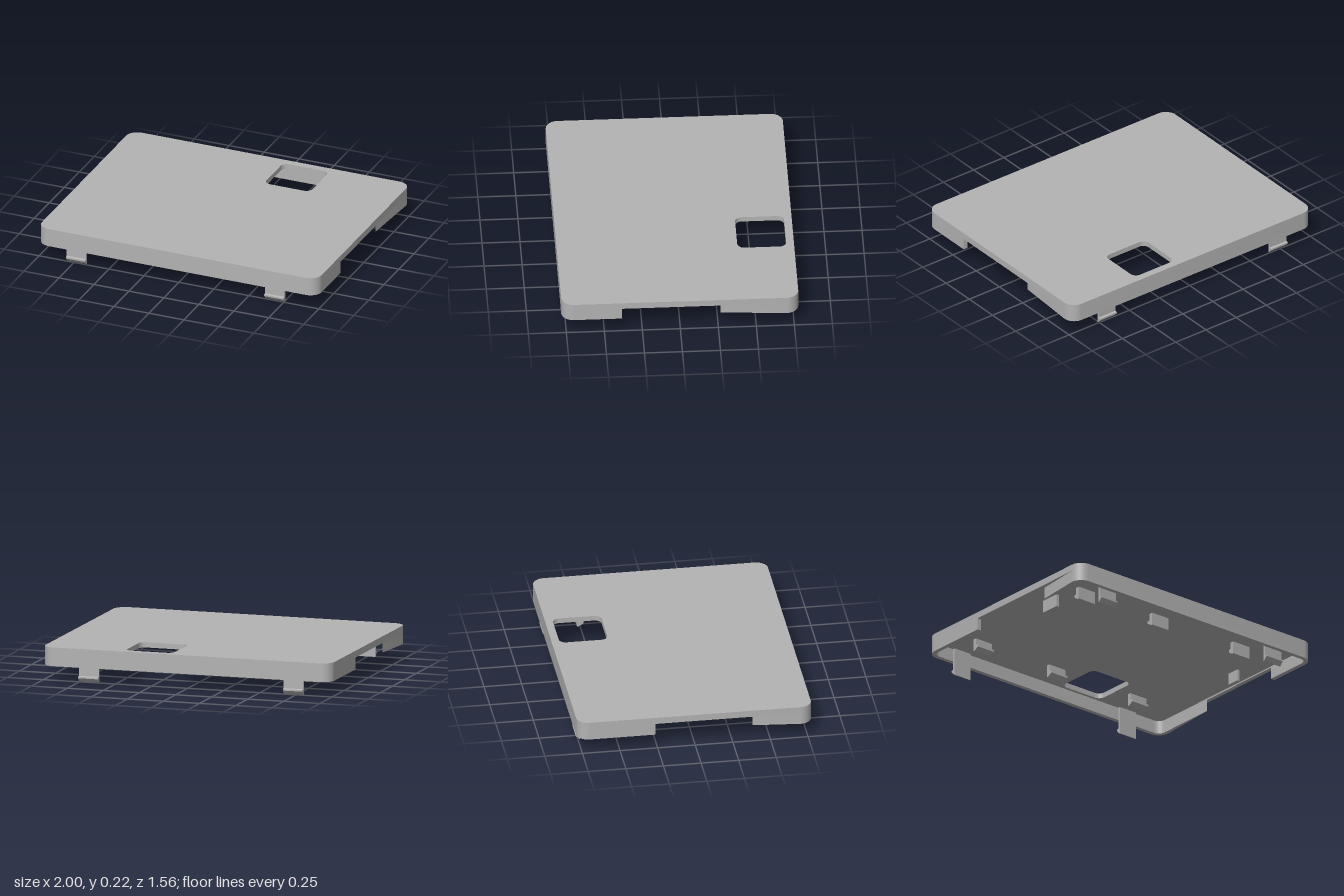
import * as THREE from 'three';
import { toCreasedNormals } from 'three/addons/utils/BufferGeometryUtils.js';

const W = 1, D = 0.78, R = 0.08, WALL = 0.03;
const RIM_Y = 0.1, NOTCH_Y = 0.18, PLATE_Y = 0.19, TOP_Y = 0.225;

// Rounded rectangle outline, centred on (cx, cy) with half sizes w and h
function roundedRect(path, cx, cy, w, h, r) {
  path.moveTo(cx + w, cy - h + r);
  path.absarc(cx + w - r, cy + h - r, r, 0, Math.PI / 2);
  path.absarc(cx - w + r, cy + h - r, r, Math.PI / 2, Math.PI);
  path.absarc(cx - w + r, cy - h + r, r, Math.PI, Math.PI * 1.5);
  path.absarc(cx + w - r, cy - h + r, r, Math.PI * 1.5, Math.PI * 2);
  path.closePath();
  return path;
}

// Extrude a plan shape (shape y points to the back) between two heights
function slab(shape, y0, y1) {
  const geo = new THREE.ExtrudeGeometry(shape, { depth: y1 - y0, bevelEnabled: false, curveSegments: 10 });
  geo.rotateX(-Math.PI / 2).translate(0, y0, 0);
  return toCreasedNormals(geo, 0.6);
}

// U-shaped wall around one end, starting at distance e from the middle
function endWall(e) {
  const s = new THREE.Shape();
  s.moveTo(W, e);
  s.absarc(W - R, D - R, R, 0, Math.PI / 2);
  s.absarc(R - W, D - R, R, Math.PI / 2, Math.PI);
  s.lineTo(-W, e);
  s.lineTo(WALL - W, e);
  s.absarc(R - W, D - R, R - WALL, Math.PI, Math.PI / 2, true);
  s.absarc(W - R, D - R, R - WALL, Math.PI / 2, 0, true);
  s.lineTo(W - WALL, e);
  s.closePath();
  return slab(s, RIM_Y, NOTCH_Y);
}

// Extrude a (z, y) profile along x, centred on x = 0
function hook(points, width) {
  const s = new THREE.Shape(points.map(([z, y]) => new THREE.Vector2(-z, y)));
  const geo = new THREE.ExtrudeGeometry(s, { depth: width, bevelEnabled: false });
  return geo.translate(0, 0, -width / 2).rotateY(Math.PI / 2);
}

export function createModel() {
  const model = new THREE.Group();
  const grey = new THREE.MeshStandardMaterial({ color: 0xb3b3b3 });
  grey.name = 'greyPlastic';

  const add = (name, geo, x = 0, z = 0, turn = 0) => {
    const mesh = new THREE.Mesh(geo, grey);
    mesh.name = name;
    mesh.position.set(x, 0, z);
    mesh.rotation.y = turn;
    model.add(mesh);
  };

  // Top plate with its rounded window
  const plate = roundedRect(new THREE.Shape(), 0, 0, W, D, R);
  plate.holes.push(roundedRect(new THREE.Path(), 0.275, 0.568, 0.165, 0.161, 0.045));
  add('topPlate', slab(plate, PLATE_Y, TOP_Y));

  // Continuous lip, then the deeper walls left by the side notches
  const lip = roundedRect(new THREE.Shape(), 0, 0, W, D, R);
  lip.holes.push(roundedRect(new THREE.Path(), 0, 0, W - WALL, D - WALL, R - WALL));
  add('lip', slab(lip, NOTCH_Y, PLATE_Y));
  add('frontWall', endWall(0.385), 0, 0, Math.PI);
  add('backWall', endWall(0.265));

  // Snap clips hanging inside the front and back walls, barbs outward
  const clip = hook([[0, PLATE_Y], [0, 0], [0.006, 0], [0.031, 0.026], [0.031, 0.036],
    [0.016, 0.04], [0.016, PLATE_Y]], 0.138);
  for (const x of [0.685, -0.733]) {
    add('frontClip', clip, x, 0.734);
    add('backClip', clip, x, -0.734, Math.PI);
  }

  // Two rows of inner hooks, barbs facing the middle
  const innerHook = hook([[0, PLATE_Y], [0, 0.105], [0.012, 0.105], [0.045, 0.125], [0.045, 0.14],
    [0.025, 0.145], [0.025, PLATE_Y]], 0.14);
  for (const x of [0.6, -0.095, -0.725]) {
    add('frontInnerHook', innerHook, x, 0.525, Math.PI);
    add('backInnerHook', innerHook, x, -0.55);
  }

  // Small upright tabs beside the notches
  const tab = (name, x, z0, z1, y0) => add(name,
    new THREE.BoxGeometry(0.02, PLATE_Y - y0, z1 - z0).translate(0, (PLATE_Y + y0) / 2, 0), x, (z0 + z1) / 2);
  tab('leftTab', 0.84, 0.12, 0.21, 0.11);
  tab('rightTab', -0.82, 0.2, 0.34, 0.105);

  return model;
}
